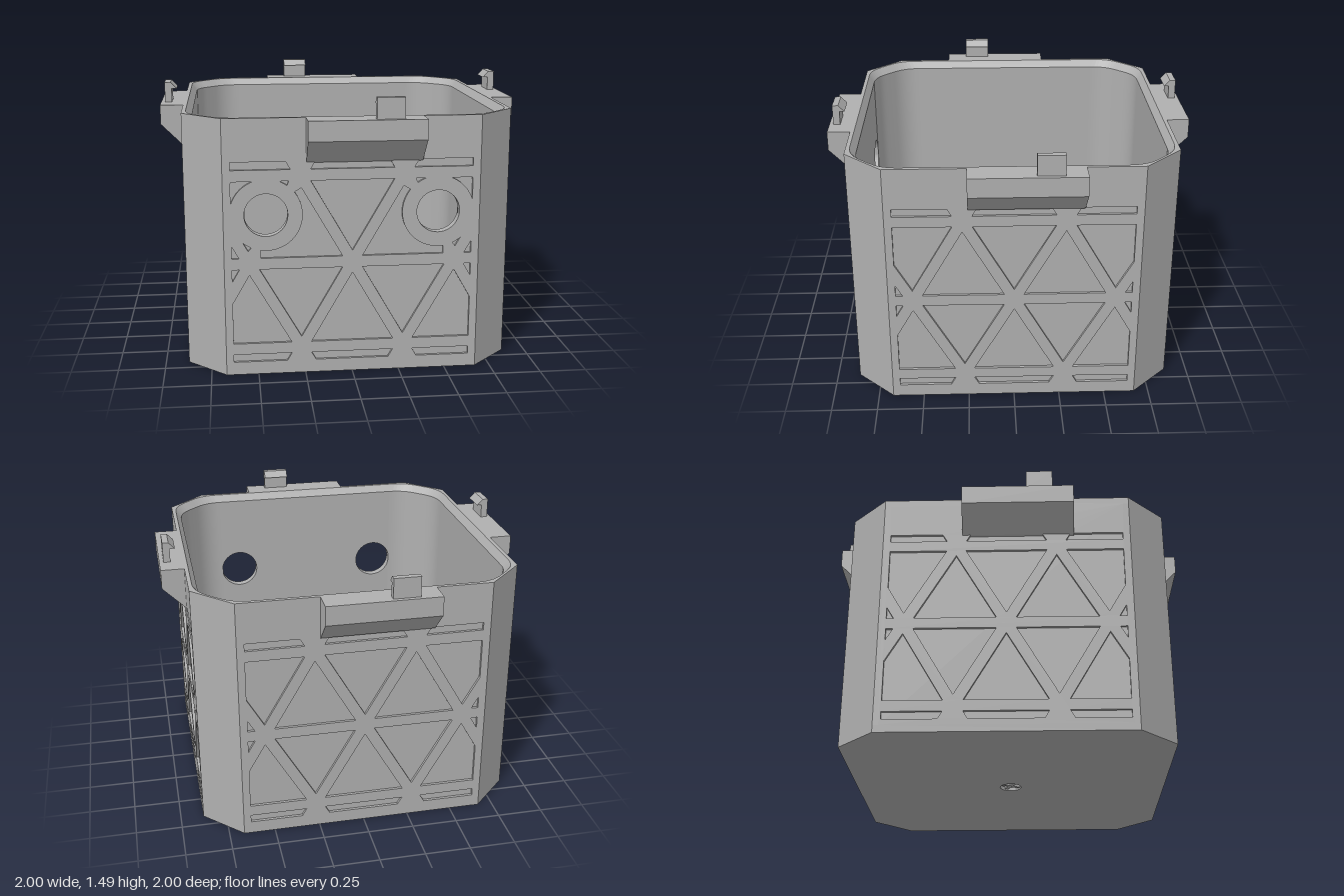
import * as THREE from 'three';
import { toCreasedNormals } from 'three/addons/utils/BufferGeometryUtils.js';

const V = (x, y) => new THREE.Vector2(x, y);
const OUT = 0.875, CH = 0.67, IN = 0.825, DEPTH = 0.015; // outer face, chamfer start, inner face, pocket depth
const FLOOR = 0.04, RIM = 1.335, TOP = 1.375;
const HOLES = [[-0.45, 0.87], [0.45, 0.87]], HOLE_R = 0.113;

export function createModel() {
  const group = new THREE.Group();
  const grey = new THREE.MeshStandardMaterial({ color: 0xb0b0b0 });
  grey.name = 'grey plastic';

  const add = (parent, name, geo) => {
    const mesh = new THREE.Mesh(geo, grey);
    mesh.name = name;
    parent.add(mesh);
    return mesh;
  };
  const extrude = (shape, depth) =>
    new THREE.ExtrudeGeometry(shape, { depth, bevelEnabled: false, curveSegments: 24 });
  // Extrude upward from height y
  const extrudeUp = (shape, y, h) => extrude(shape, h).rotateX(-Math.PI / 2).translate(0, y, 0);
  // Extrude a (z, y) profile along x
  const extrudeAcross = (pts, x0, x1) =>
    extrude(new THREE.Shape(pts.map(p => V(...p))), x1 - x0).rotateY(-Math.PI / 2).translate(x1, 0, 0);
  const circle = (x, y, r) => new THREE.Path().absarc(x, y, r, 0, Math.PI * 2, true);
  const rect = (x0, y0, x1, y1) => [V(x0, y0), V(x1, y0), V(x1, y1), V(x0, y1)];

  // Outer octagon
  const octagon = () => {
    const pts = [];
    for (let i = 0; i < 4; i++) {
      for (const p of [V(OUT, -CH), V(OUT, CH)]) pts.push(p.rotateAround(V(0, 0), i * Math.PI / 2));
    }
    return new THREE.Shape(pts);
  };
  // Rounded inside of one corner, running from the +x wall to the +y wall
  const innerCorner = () => [
    ...new THREE.QuadraticBezierCurve(V(IN, 0.56), V(IN, 0.65), V(0.765, 0.71)).getPoints(8),
    ...new THREE.QuadraticBezierCurve(V(0.71, 0.765), V(0.65, IN), V(0.56, IN)).getPoints(8),
  ];

  // Floor with a small round recess underneath
  const floorShape = octagon();
  floorShape.holes.push(circle(0, 0, 0.06));
  add(group, 'floor', extrudeUp(floorShape, 0, FLOOR));
  add(group, 'recessDisc', new THREE.CylinderGeometry(0.062, 0.062, 0.02, 24).translate(0, FLOOR - 0.01, 0));
  for (const a of [0, Math.PI / 2]) {
    add(group, 'recessRib', new THREE.BoxGeometry(0.11, 0.015, 0.02).rotateY(a + 0.5).translate(0, 0.0135, 0));
  }

  // Triangular pocket outlines: an inset triangle grid clipped to the panel
  const clip = (poly, nx, ny, d) => {
    const out = [];
    poly.forEach((p, i) => {
      const q = poly[(i + 1) % poly.length];
      const a = d - (nx * p.x + ny * p.y), b = d - (nx * q.x + ny * q.y);
      if (a >= 0) out.push(p);
      if ((a >= 0) !== (b >= 0)) out.push(p.clone().lerp(q, a / (a - b)));
    });
    return out;
  };
  const side = 0.54, rowH = side * Math.sqrt(3) / 2, inset = 0.03, midY = 0.61;
  const pockets = [];
  for (let row = -2; row < 2; row++) {
    for (let k = -4; k <= 4; k++) {
      const up = (k + row) % 2 !== 0;
      const cx = k * side / 2;
      const cy = midY + row * rowH + (up ? rowH / 3 : 2 * rowH / 3);
      let poly = rect(-0.63, 0.07, 0.63, 1.15);
      for (let i = 0; i < 3; i++) {
        const a = (up ? -Math.PI / 2 : Math.PI / 2) + i * Math.PI * 2 / 3;
        const nx = Math.cos(a), ny = Math.sin(a);
        poly = clip(poly, nx, ny, nx * cx + ny * cy + rowH / 3 - inset);
      }
      if (poly.length > 2 && Math.abs(THREE.ShapeUtils.area(poly)) > 0.0008) pockets.push(poly);
    }
  }

  // Rounded corner column
  const columnShape = new THREE.Shape([
    V(0.64, OUT), V(0.56, OUT - 0.03), V(0.56, IN), ...innerCorner().reverse().slice(1),
    V(OUT - 0.03, 0.56), V(OUT, 0.64), V(OUT, CH), V(CH, OUT),
  ]);
  // Keep the column behind the pocket floors
  columnShape.curves.length = 0;
  columnShape.setFromPoints([
    V(0.64, OUT), V(0.64, 0.845), V(0.56, 0.845), ...innerCorner().reverse(),
    V(0.845, 0.56), V(0.845, 0.64), V(OUT, 0.64), V(OUT, CH), V(CH, OUT),
  ]);

  // Four sides, each turned a quarter from the last
  for (let i = 0; i < 4; i++) {
    const s = new THREE.Group();
    s.name = ['frontSide', 'leftSide', 'backSide', 'rightSide'][i];
    s.rotation.y = i * Math.PI / 2;
    group.add(s);

    const wall = new THREE.Shape(rect(-0.645, FLOOR, 0.645, RIM));
    const skin = new THREE.Shape(rect(-0.64, FLOOR, 0.64, RIM));
    for (const p of pockets) skin.holes.push(new THREE.Path(p));
    if (i === 0) {
      for (const [x, y] of HOLES) {
        wall.holes.push(circle(x, y, HOLE_R));
        // Solid ring around each cable hole
        const ring = new THREE.Shape().absarc(x, y, 0.19, 0, Math.PI * 2);
        ring.holes.push(circle(x, y, HOLE_R));
        add(s, 'holeRing', extrude(ring, DEPTH).translate(0, 0, OUT - DEPTH));
      }
      // Outline of the grid around the holes, with the pockets they would cross cut short
      skin.holes = [];
      const clear = p => HOLES.every(([x, y]) => {
        return !p.some((a, j) => {
          const b = p[(j + 1) % p.length], c = V(x, y), d = b.clone().sub(a);
          const t = THREE.MathUtils.clamp(c.clone().sub(a).dot(d) / d.lengthSq(), 0, 1);
          return a.clone().addScaledVector(d, t).distanceTo(c) < HOLE_R + 0.003;
        });
      });
      // Pockets next to a hole merge with it; the ring fills the overlap
      const crossed = pockets.filter(p => !clear(p));
      for (const p of pockets) if (clear(p)) skin.holes.push(new THREE.Path(p));
      for (const [x, y] of HOLES) {
        const near = crossed.filter(p => p.some(a => a.x * x > 0 && Math.abs(a.x) > 0.3));
        const pts = [];
        for (let k = 0; k < 96; k++) {
          // Longest reach of the crossed pockets along each ray from the hole
          const a = k / 96 * Math.PI * 2, dir = V(Math.cos(a), Math.sin(a));
          let reach = 0.15;
          for (const p of near) p.forEach((u, j) => {
            const e = p[(j + 1) % p.length].clone().sub(u), w = V(u.x - x, u.y - y);
            const det = dir.cross(e);
            if (Math.abs(det) < 1e-9) return;
            const t = w.cross(e) / det, m = w.cross(dir) / det;
            if (t > 0 && m >= 0 && m <= 1) reach = Math.max(reach, t);
          });
          pts.push(V(x + dir.x * reach, y + dir.y * reach));
        }
        skin.holes.push(new THREE.Path(pts));
      }
    }
    add(s, 'wall', extrude(wall, OUT - DEPTH - IN).translate(0, 0, IN));
    add(s, 'ribbedSkin', extrude(skin, DEPTH).translate(0, 0, OUT - DEPTH));
    add(s, 'cornerColumn', toCreasedNormals(extrudeUp(columnShape, FLOOR, RIM - FLOOR), 0.5));

    // Ledge with sloped underside, and its snap hook
    add(s, 'ledge', extrudeAcross([[0.865, TOP], [0.865, 1.14], [0.875, 1.145], [1, 1.27], [1, TOP]], -0.24, 0.365));
    add(s, 'snapHook', extrudeAcross(
      [[0.978, TOP], [0.978, 1.485], [0.945, 1.485], [0.912, 1.45], [0.94, 1.45], [0.94, TOP]], 0.108, 0.252));
  }

  // Rim whose inside tapers outward at the top
  const rimShape = octagon();
  const inner = [];
  for (let i = 0; i < 4; i++) {
    for (const p of innerCorner()) inner.push(p.rotateAround(V(0, 0), i * Math.PI / 2));
  }
  rimShape.holes.push(new THREE.Path(inner));
  const rim = extrudeUp(rimShape, RIM, TOP - RIM);
  const pos = rim.attributes.position;
  for (let i = 0; i < pos.count; i++) {
    const x = pos.getX(i), z = pos.getZ(i);
    if (pos.getY(i) > TOP - 0.001 && Math.max(Math.abs(x), Math.abs(z)) < OUT - 0.01) {
      pos.setX(i, x * 1.035);
      pos.setZ(i, z * 1.035);
    }
  }
  rim.computeVertexNormals();
  add(group, 'rim', rim);

  // Tray frame on the floor, lower at the back notch
  const bar = (x0, x1, z0, z1, h) => add(group, 'trayFrame',
    new THREE.BoxGeometry(x1 - x0, h, z1 - z0).translate((x0 + x1) / 2, FLOOR + h / 2, (z0 + z1) / 2));
  bar(-0.43, -0.39, -0.67, 0.66, 0.1);
  bar(0.315, 0.35, -0.67, 0.66, 0.1);
  bar(-0.39, 0.315, 0.63, 0.66, 0.1);
  bar(-0.39, -0.165, -0.67, -0.635, 0.1);
  bar(0.09, 0.315, -0.67, -0.635, 0.1);
  bar(-0.165, 0.09, -0.67, -0.635, 0.04);

  // Board standoffs with snap pins
  [[-0.595, -0.455, 1], [-0.6, 0.59, 1], [0.52, -0.71, 1], [0.52, 0.565, 0]].forEach(([x, z, snap]) => {
    add(group, 'standoff', new THREE.CylinderGeometry(0.09, 0.09, 0.1, 32).translate(x, FLOOR + 0.05, z));
    add(group, 'pin', new THREE.CylinderGeometry(0.045, 0.05, 0.1, 24).translate(x, FLOOR + 0.15, z));
    if (snap) {
      add(group, 'pinHead', new THREE.CylinderGeometry(0.042, 0.066, 0.05, 24).scale(1, 1, 0.7)
        .translate(x, FLOOR + 0.175, z));
    }
  });
  return group;
}
